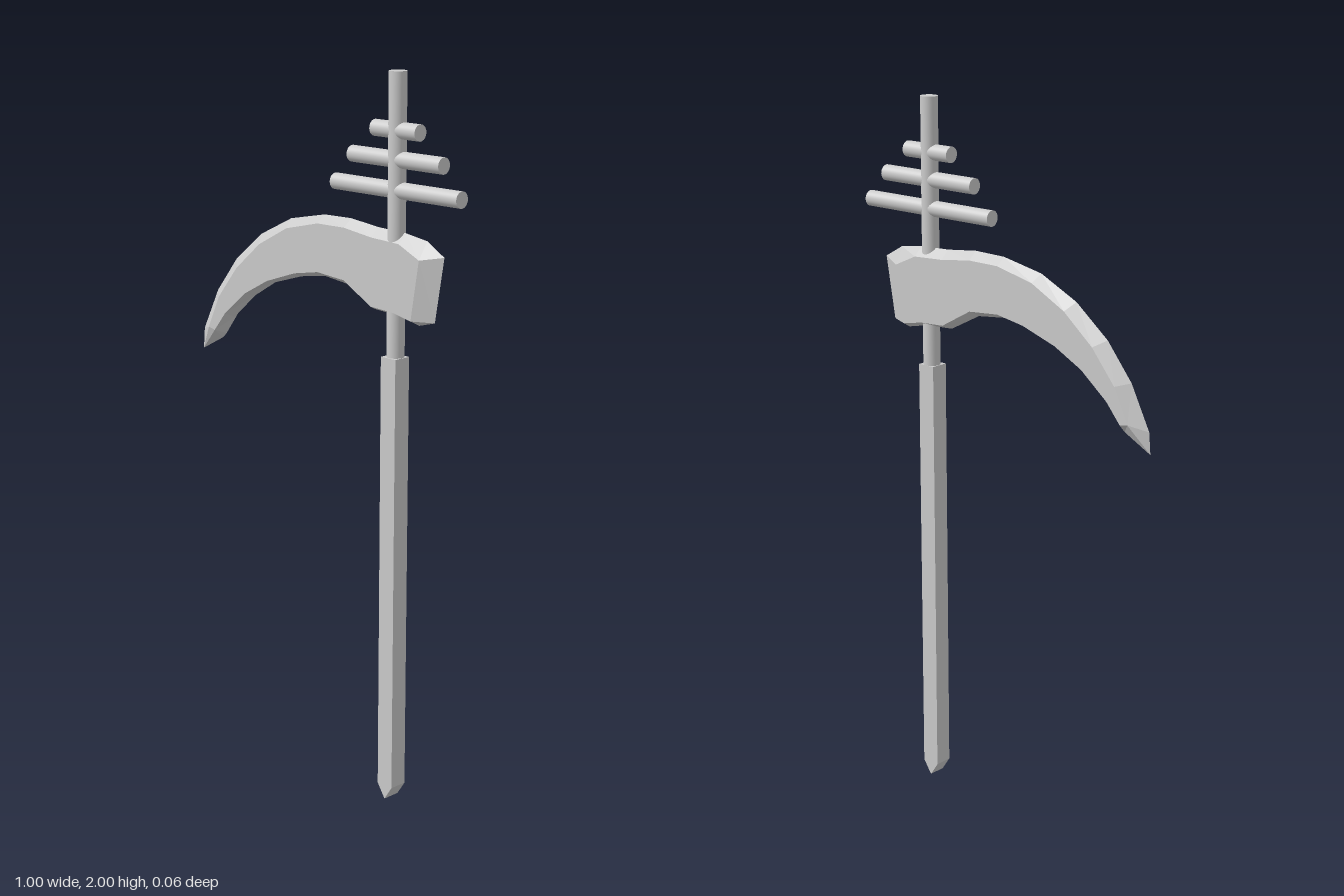
import * as THREE from 'three';

const flat = new THREE.MeshStandardMaterial({ color: 0xcccccc, flatShading: true });
const smooth = new THREE.MeshStandardMaterial({ color: 0xcccccc });
const AXIS = 0.27; // x of the shaft

function add(group, name, geometry, material) {
  const mesh = new THREE.Mesh(geometry, material);
  mesh.name = name;
  group.add(mesh);
  return mesh;
}

// Curved blade: a hexagonal section lofted from tip to butt.
// Each station: outer ridge, outer face edge, inner face edge, inner ridge (x, y).
function bladeGeometry() {
  const stations = [
    [-0.5, 1.15, -0.5, 1.15, -0.415, 1.195, -0.415, 1.195],
    [-0.495, 1.21, -0.445, 1.225, -0.42, 1.22, -0.4, 1.21],
    [-0.435, 1.33, -0.4, 1.32, -0.375, 1.275, -0.365, 1.262],
    [-0.355, 1.43, -0.325, 1.412, -0.29, 1.345, -0.285, 1.333],
    [-0.25, 1.515, -0.23, 1.492, -0.2, 1.393, -0.2, 1.385],
    [-0.13, 1.573, -0.12, 1.55, -0.09, 1.43, -0.09, 1.418],
    [0, 1.599, 0, 1.578, 0, 1.446, 0, 1.432],
    [0.1, 1.601, 0.1, 1.579, 0.1, 1.438, 0.09, 1.422],
    [0.2, 1.59, 0.2, 1.566, 0.2, 1.382, 0.19, 1.37],
    [0.3, 1.586, 0.3, 1.561, 0.28, 1.378, 0.28, 1.365],
    [0.375, 1.575, 0.372, 1.528, 0.345, 1.365, 0.35, 1.35],
    [0.435, 1.54, 0.435, 1.54, 0.405, 1.365, 0.405, 1.365],
  ];
  const zMid = -0.004, half = 0.028;
  const positions = [], index = [];
  stations.forEach(([ox, oy, ax, ay, bx, by, ix, iy], s) => {
    const h = s === 0 || s === stations.length - 1 ? 0 : half; // ends close to an edge
    positions.push(
      ox, oy, zMid, ax, ay, zMid + h, bx, by, zMid + h,
      ix, iy, zMid, bx, by, zMid - h, ax, ay, zMid - h);
    if (s === 0) return;
    for (let k = 0; k < 6; k++) {
      const a = (s - 1) * 6 + k, b = (s - 1) * 6 + (k + 1) % 6;
      index.push(a, b, b + 6, a, b + 6, a + 6);
    }
  });
  const g = new THREE.BufferGeometry();
  g.setAttribute('position', new THREE.Float32BufferAttribute(positions, 3));
  g.setIndex(index);
  g.computeVertexNormals();
  return g;
}

export function createModel() {
  const model = new THREE.Group();
  model.name = 'bladedStaff';

  // Square handle with a wedge-shaped foot
  const w = 0.0265;
  const outline = new THREE.Shape([
    new THREE.Vector2(0, 0), new THREE.Vector2(w, 0.04), new THREE.Vector2(w, 1.255),
    new THREE.Vector2(-w, 1.255), new THREE.Vector2(-w, 0.04),
  ]);
  const handle = add(model, 'handle',
    new THREE.ExtrudeGeometry(outline, { depth: 0.052, bevelEnabled: false }), flat);
  handle.position.set(AXIS, 0, -0.024);

  // Round pole rising through the blade
  const pole = add(model, 'pole', new THREE.CylinderGeometry(0.024, 0.024, 0.8, 32), smooth);
  pole.position.set(AXIS, 1.6, 0);

  // Three crossbars, shortening upwards
  [[1.695, 0.45], [1.774, 0.325], [1.849, 0.16]].forEach(([y, length], i) => {
    const bar = add(model, 'crossbar' + (i + 1),
      new THREE.CylinderGeometry(0.022, 0.022, length, 32), smooth);
    bar.rotation.z = Math.PI / 2;
    bar.position.set(AXIS, y, 0);
  });

  add(model, 'blade', bladeGeometry(), flat);
  return model;
}
